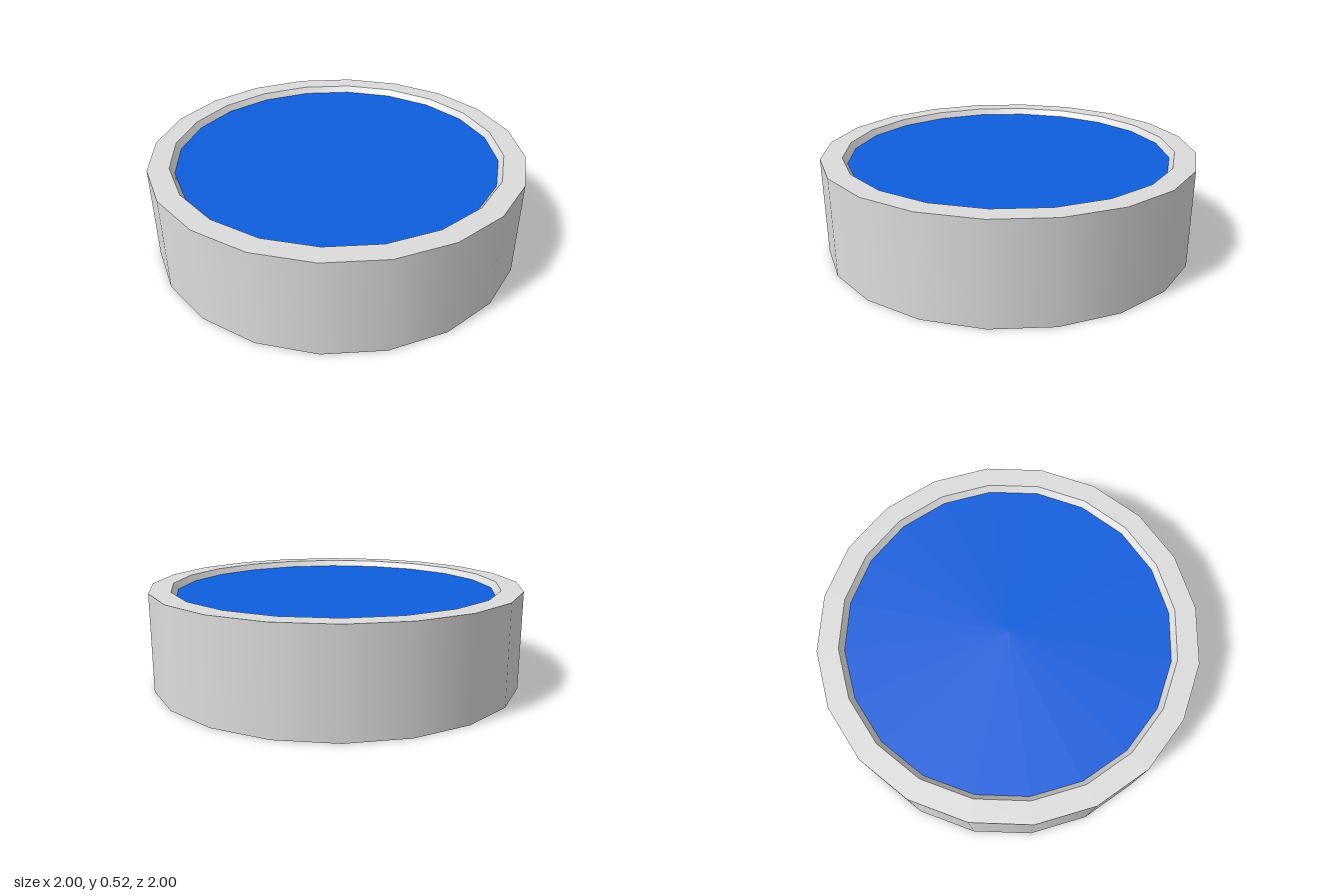
import * as THREE from 'three';

const SIDES = 20;
const HEIGHT = 0.52;
const OUTER = 1;
const INNER = 0.888;
const WATER_RADIUS = 0.863;
const WATER_LEVEL = HEIGHT - 0.033;

export function createModel() {
  const group = new THREE.Group();
  group.name = 'roundBasin';

  const stone = new THREE.MeshStandardMaterial({ color: 0xdcdcdc, side: THREE.DoubleSide });
  stone.name = 'light grey';
  const blue = new THREE.MeshStandardMaterial({ color: 0x0e5edd, side: THREE.DoubleSide });
  blue.name = 'water blue';

  // One band of the shell, turned between two [radius, height] points;
  // separate bands keep the rim edges sharp and each band smooth around.
  const band = (name, from, to) => {
    const points = [new THREE.Vector2(...from), new THREE.Vector2(...to)];
    const mesh = new THREE.Mesh(new THREE.LatheGeometry(points, SIDES), stone);
    mesh.name = name;
    group.add(mesh);
  };

  // Open-bottomed shell: wall, flat rim, sloped inner lip
  band('outerWall', [OUTER, 0], [OUTER, HEIGHT]);
  band('topRim', [OUTER, HEIGHT], [INNER, HEIGHT]);
  band('innerLip', [INNER, HEIGHT], [WATER_RADIUS, WATER_LEVEL]);

  // Flat surface just below the rim
  const water = new THREE.Mesh(new THREE.CircleGeometry(WATER_RADIUS, SIDES), blue);
  water.name = 'waterSurface';
  water.rotation.x = -Math.PI / 2;
  water.position.y = WATER_LEVEL;
  group.add(water);

  return group;
}
